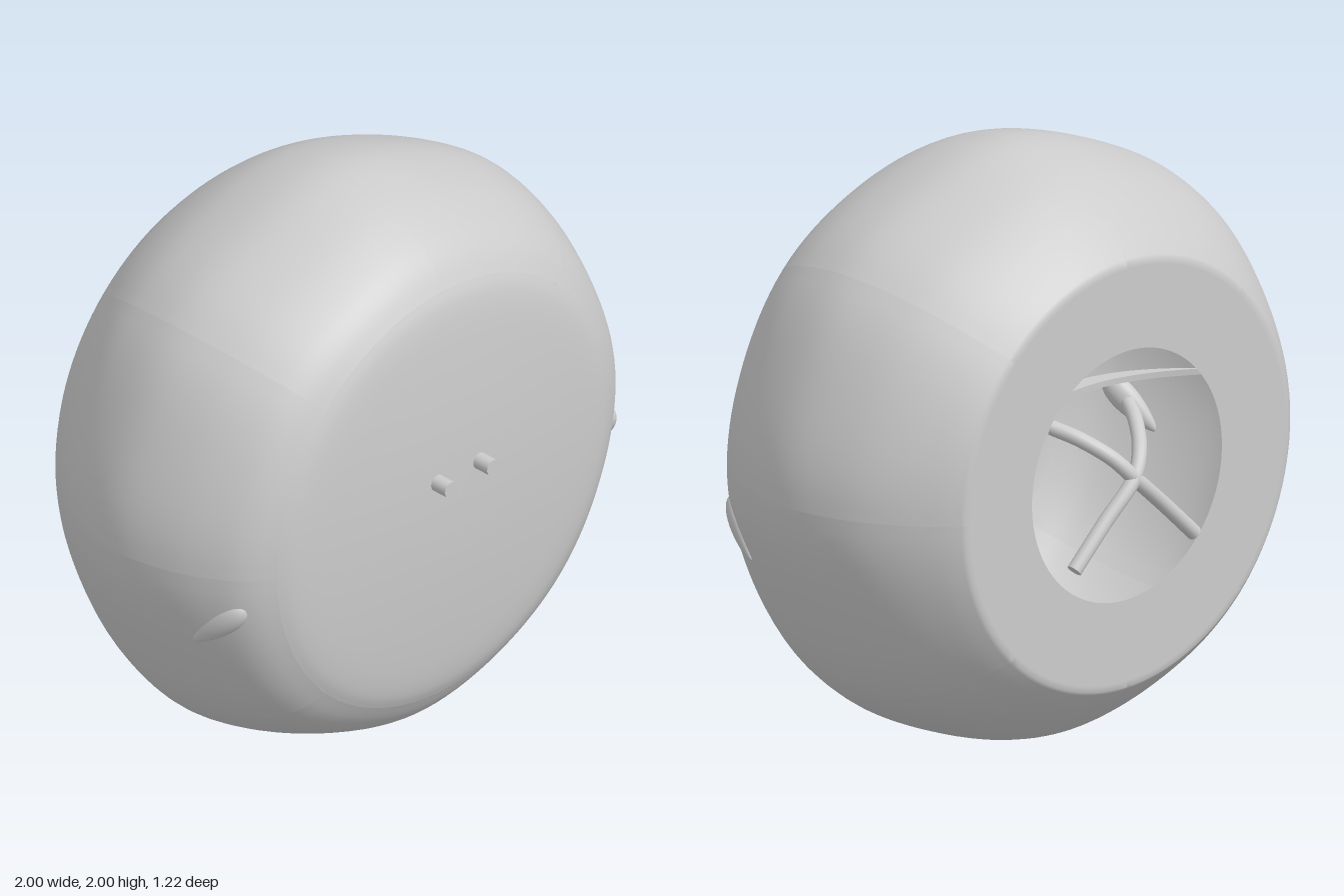
import * as THREE from 'three';

const V2 = (r, z) => new THREE.Vector2(r, z);
const V3 = (x, y, z) => new THREE.Vector3(x, y, z);
const PANELS = 8;

export function createModel() {
  const model = new THREE.Group();
  const grey = new THREE.MeshStandardMaterial({ color: 0xcccccc, side: THREE.DoubleSide });
  const add = (geometry, name, parent = model) => {
    const mesh = new THREE.Mesh(geometry, grey);
    mesh.name = name;
    parent.add(mesh);
    return mesh;
  };

  // Hollow body: eight shell panels, slightly flattened between their seams
  const side = new THREE.SplineCurve([
    V2(0.715, -0.55), V2(0.78, -0.49), V2(0.87, -0.38), V2(0.94, -0.26), V2(0.985, -0.12),
    V2(1, 0), V2(0.985, 0.12), V2(0.945, 0.25), V2(0.88, 0.37), V2(0.82, 0.435), V2(0.75, 0.48),
  ]).getPoints(40);
  const profile = [V2(0.42, -0.55), V2(0.55, -0.55), V2(0.695, -0.55), ...side];
  const arc = (Math.PI * 2) / PANELS;
  const body = new THREE.Group();
  body.name = 'body';
  body.position.y = 1;
  model.add(body);
  for (let i = 0; i < PANELS; i++) {
    const g = new THREE.LatheGeometry(profile, 16, i * arc, arc);
    const p = g.attributes.position;
    for (let k = 0; k < p.count; k++) {
      const x = p.getX(k), z = p.getZ(k);
      const r = Math.hypot(x, z);
      const t = (Math.atan2(x, z) - i * arc) / arc;
      const sag = 0.02 * Math.sin(Math.PI * t) ** 2 * Math.max(0, (r - 0.72) / 0.28);
      p.setX(k, x * (1 - sag));
      p.setZ(k, z * (1 - sag));
    }
    g.computeVertexNormals();
    g.rotateX(Math.PI / 2);
    add(g, 'shellPanel', body);
  }

  // Gently domed front plate
  const dome = new THREE.SplineCurve([
    V2(0.75, 0.48), V2(0.7, 0.5), V2(0.6, 0.517), V2(0.4, 0.535), V2(0.2, 0.546), V2(0, 0.55),
  ]).getPoints(24);
  dome[dome.length - 1].x = 0;
  add(new THREE.LatheGeometry(dome, 96).rotateX(Math.PI / 2), 'frontPlate', body);

  // Two pegs on the front
  for (const s of [-1, 1]) {
    const peg = add(new THREE.CylinderGeometry(0.028, 0.028, 0.12, 24).rotateX(Math.PI / 2), 'frontPeg');
    peg.position.set(s * 0.095, 1.1, 0.55);
  }

  // Crossed bent rods at the back opening
  const R = 0.025;
  for (const s of [-1, 1]) {
    const points = [
      V3(s * 0.17, 1.16, -0.38), V3(s * 0.125, 1.13, -0.46), V3(s * 0.06, 1.07, -0.545),
      V3(0, 1, -0.583), V3(-s * 0.13, 0.88, -0.583), V3(-s * 0.265, 0.75, -0.583),
    ];
    const curve = new THREE.CatmullRomCurve3(points);
    add(new THREE.TubeGeometry(curve, 40, R, 16), 'backRod');
    for (const t of [0, 1]) {
      const cap = add(new THREE.CircleGeometry(R, 16), 'rodEnd');
      cap.position.copy(curve.getPoint(t));
      const out = curve.getTangent(t).multiplyScalar(t ? 1 : -1);
      cap.quaternion.setFromUnitVectors(V3(0, 0, 1), out);
    }
  }

  // Thin curved strip inside, above the rods
  const strip = new THREE.Shape();
  strip.moveTo(-0.4, -0.53);
  strip.quadraticCurveTo(0, -0.1, 0.4, -0.53);
  strip.quadraticCurveTo(0, -0.22, -0.4, -0.53);
  const stripGeo = new THREE.ExtrudeGeometry(strip, { depth: 0.02, bevelEnabled: false, curveSegments: 24 });
  add(stripGeo.rotateX(Math.PI / 2), 'innerStrip').position.y = 1.26;

  // Leaf-shaped fin on each side, tapering down and back
  const fin = new THREE.SphereGeometry(1, 32, 20).rotateZ(Math.PI / 2);
  const fp = fin.attributes.position;
  for (let k = 0; k < fp.count; k++) {
    const taper = 1 - 0.35 * fp.getX(k);
    fp.setXYZ(k, fp.getX(k) * 0.12, fp.getY(k) * 0.043 * taper, fp.getZ(k) * 0.033 * taper);
  }
  fin.computeVertexNormals();
  const along = V3(0.07, -0.16, -0.16).normalize();
  const across = V3(0.86, -0.18, 0.33).cross(along).normalize();
  const outward = along.clone().cross(across);
  fin.applyMatrix4(new THREE.Matrix4().makeBasis(along, across, outward));
  fin.translate(0.86, 0.81, 0.33);
  for (const s of [1, -1]) add(fin, s > 0 ? 'leftFin' : 'rightFin').scale.x = s;

  return model;
}
